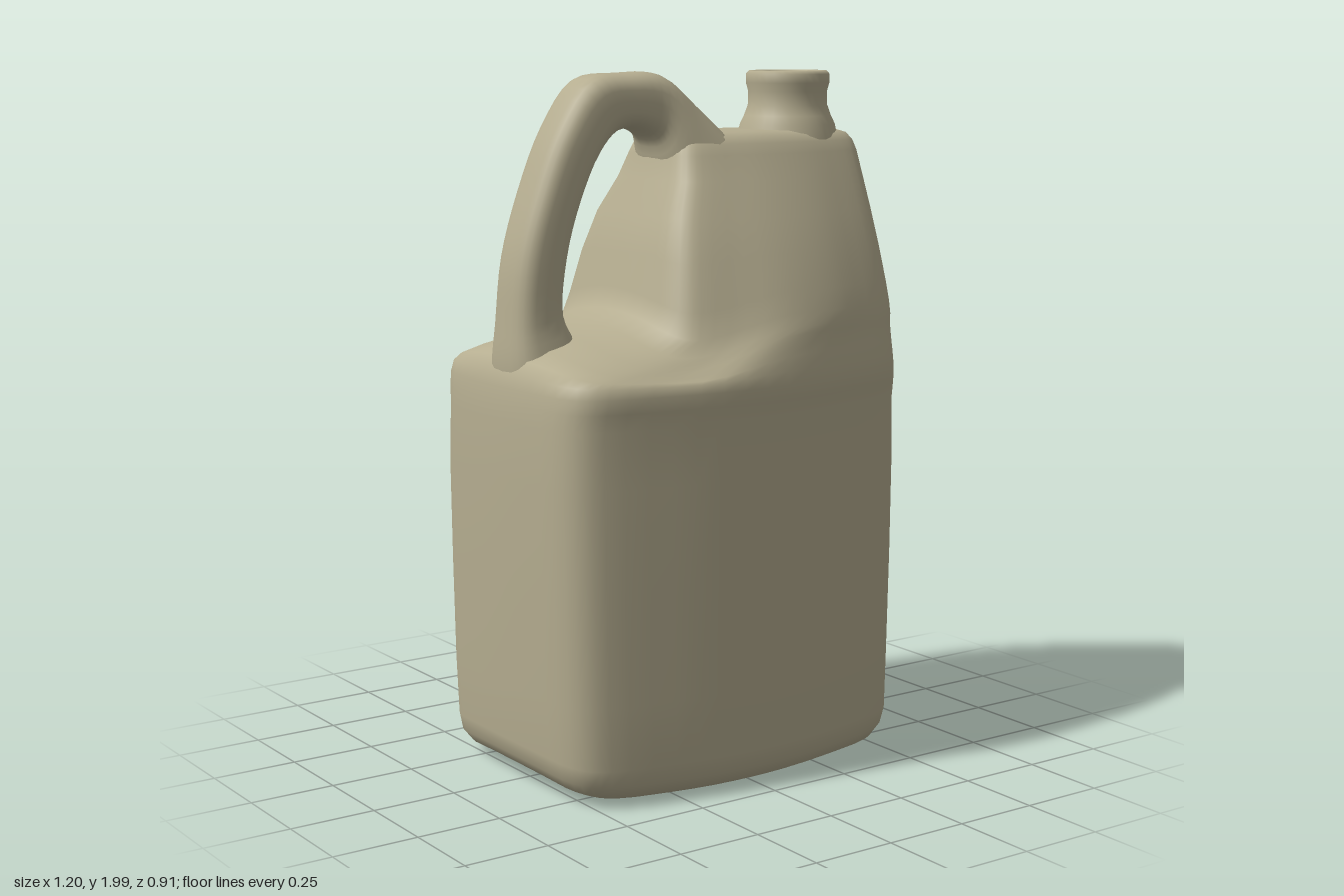
import * as THREE from 'three';

const plastic = new THREE.MeshStandardMaterial({ color: 0xb5ad90 });
plastic.name = 'beigePlastic';

// Skin a list of closed rings (arrays of Vector3), capping both ends
function loft(rings) {
  const n = rings[0].length, pos = [], idx = [];
  rings.forEach(r => r.forEach(p => pos.push(p.x, p.y, p.z)));
  for (let i = 0; i < rings.length - 1; i++) {
    for (let j = 0; j < n; j++) {
      const a = i * n + j, b = i * n + (j + 1) % n, c = a + n, d = b + n;
      idx.push(a, c, b, b, c, d);
    }
  }
  for (const end of [0, rings.length - 1]) {
    const mid = new THREE.Vector3();
    rings[end].forEach(p => mid.addScaledVector(p, 1 / n));
    const m = pos.length / 3;
    pos.push(mid.x, mid.y, mid.z);
    for (let j = 0; j < n; j++) {
      const a = end * n + j, b = end * n + (j + 1) % n;
      if (end) idx.push(a, m, b); else idx.push(a, b, m);
    }
  }
  const g = new THREE.BufferGeometry();
  g.setAttribute('position', new THREE.Float32BufferAttribute(pos, 3));
  g.setIndex(idx);
  g.computeVertexNormals();
  return g;
}

// Unit plan outline: bulged rectangle with rounded corners
function planOutline(count) {
  const q = [[1, 0], [0.985, 0.4], [0.96, 0.65], [0.9, 0.78], [0.8, 0.85], [0.55, 0.92], [0.28, 0.98], [0, 1]];
  const back = q.slice(0, -1).reverse().map(([x, z]) => [-x, z]);
  const half = [...q, ...back];
  const rest = half.slice(1, -1).reverse().map(([x, z]) => [x, -z]);
  const pts = [...half, ...rest].map(([x, z]) => new THREE.Vector3(x, 0, z));
  const curve = new THREE.CatmullRomCurve3(pts, true);
  return Array.from({ length: count }, (_, i) => curve.getPoint(i / count));
}

function bodyGeometry() {
  // height, left edge, right edge, half depth
  const rows = [
    [0.01, -0.46, 0.46, 0.33], [0.015, -0.51, 0.51, 0.38], [0.035, -0.55, 0.55, 0.42],
    [0.07, -0.575, 0.57, 0.442], [0.12, -0.582, 0.58, 0.452], [0.3, -0.59, 0.585, 0.452],
    [0.6, -0.597, 0.593, 0.45], [0.9, -0.602, 0.598, 0.447], [1.06, -0.598, 0.597, 0.443],
    [1.11, -0.595, 0.596, 0.452], [1.15, -0.59, 0.595, 0.455], [1.19, -0.583, 0.594, 0.448],
    [1.23, -0.56, 0.593, 0.438], [1.26, -0.5, 0.593, 0.428], [1.285, -0.4, 0.592, 0.42],
    [1.305, -0.29, 0.592, 0.412], [1.34, -0.225, 0.591, 0.4], [1.4, -0.205, 0.59, 0.378],
    [1.5, -0.18, 0.588, 0.336], [1.6, -0.148, 0.586, 0.287], [1.7, -0.1, 0.584, 0.232],
    [1.77, -0.08, 0.582, 0.195], [1.8, -0.07, 0.575, 0.178], [1.82, -0.05, 0.56, 0.16],
    [1.83, -0.02, 0.53, 0.135], [1.832, 0.05, 0.48, 0.1],
  ];
  const plan = planOutline(64), step = THREE.MathUtils.smoothstep;
  return loft(rows.map(([y, l, r, d]) => plan.map(p => {
    const x = (l + r) / 2 + p.x * (r - l) / 2, z = p.z * d;
    // shoulder below the handle falls away to front and back
    const drop = 0.1 * step(y, 1.15, 1.3) * (1 - step(y, 1.34, 1.6)) * (1 - step(x, -0.25, 0.15)) * p.z * p.z;
    // underside arches up slightly at each end
    const arch = 0.03 * (1 - step(y, 0.02, 0.3)) * p.x ** 4 * (1 - p.z * p.z);
    return new THREE.Vector3(x, y - drop + arch, z);
  })));
}

function handleGeometry() {
  // outer x, y, inner x, y, half width
  const rows = [
    [-0.57, 1.1, -0.36, 1.16, 0.13], [-0.582, 1.2, -0.375, 1.26, 0.115], [-0.575, 1.32, -0.41, 1.34, 0.094],
    [-0.555, 1.5, -0.395, 1.5, 0.09], [-0.5, 1.68, -0.35, 1.65, 0.09], [-0.42, 1.86, -0.285, 1.78, 0.09],
    [-0.32, 1.985, -0.23, 1.835, 0.09], [-0.2, 2, -0.17, 1.845, 0.092], [-0.08, 1.995, -0.1, 1.81, 0.1],
    [0.02, 1.915, -0.07, 1.72, 0.13], [0.11, 1.83, 0, 1.65, 0.165],
  ];
  const outer = new THREE.CatmullRomCurve3(rows.map(r => new THREE.Vector3(r[0], r[1], r[4])));
  const inner = new THREE.CatmullRomCurve3(rows.map(r => new THREE.Vector3(r[2], r[3], r[4])));
  const rings = [], steps = 40, sides = 24;
  const round = v => Math.sign(v) * Math.abs(v) ** 0.7;
  for (let i = 0; i <= steps; i++) {
    const o = outer.getPoint(i / steps), n = inner.getPoint(i / steps);
    rings.push(Array.from({ length: sides }, (_, j) => {
      const a = j / sides * Math.PI * 2, c = round(Math.cos(a)), s = round(Math.sin(a));
      return new THREE.Vector3((o.x + n.x) / 2 + c * (o.x - n.x) / 2,
        (o.y + n.y) / 2 + c * (o.y - n.y) / 2, 0.01 - s * o.z);
    }));
  }
  return loft(rings);
}

// Open pouring neck with a collar and a rolled lip
function neckGeometry() {
  const profile = [[0.15, 1.8], [0.14, 1.845], [0.128, 1.87], [0.117, 1.9], [0.116, 1.94], [0.123, 1.965],
    [0.123, 1.99], [0.114, 2], [0.098, 2], [0.09, 1.985], [0.088, 1.94], [0.088, 1.85], [0, 1.845]];
  return new THREE.LatheGeometry(profile.map(([x, y]) => new THREE.Vector2(x, y)), 32);
}

export function createModel() {
  const jug = new THREE.Group();
  jug.name = 'jug';
  const add = (name, geometry) => {
    const mesh = new THREE.Mesh(geometry, plastic);
    mesh.name = name;
    jug.add(mesh);
    return mesh;
  };
  add('body', bodyGeometry());
  add('handle', handleGeometry());
  add('neck', neckGeometry()).position.set(0.4, 0, 0.015);
  return jug;
}
